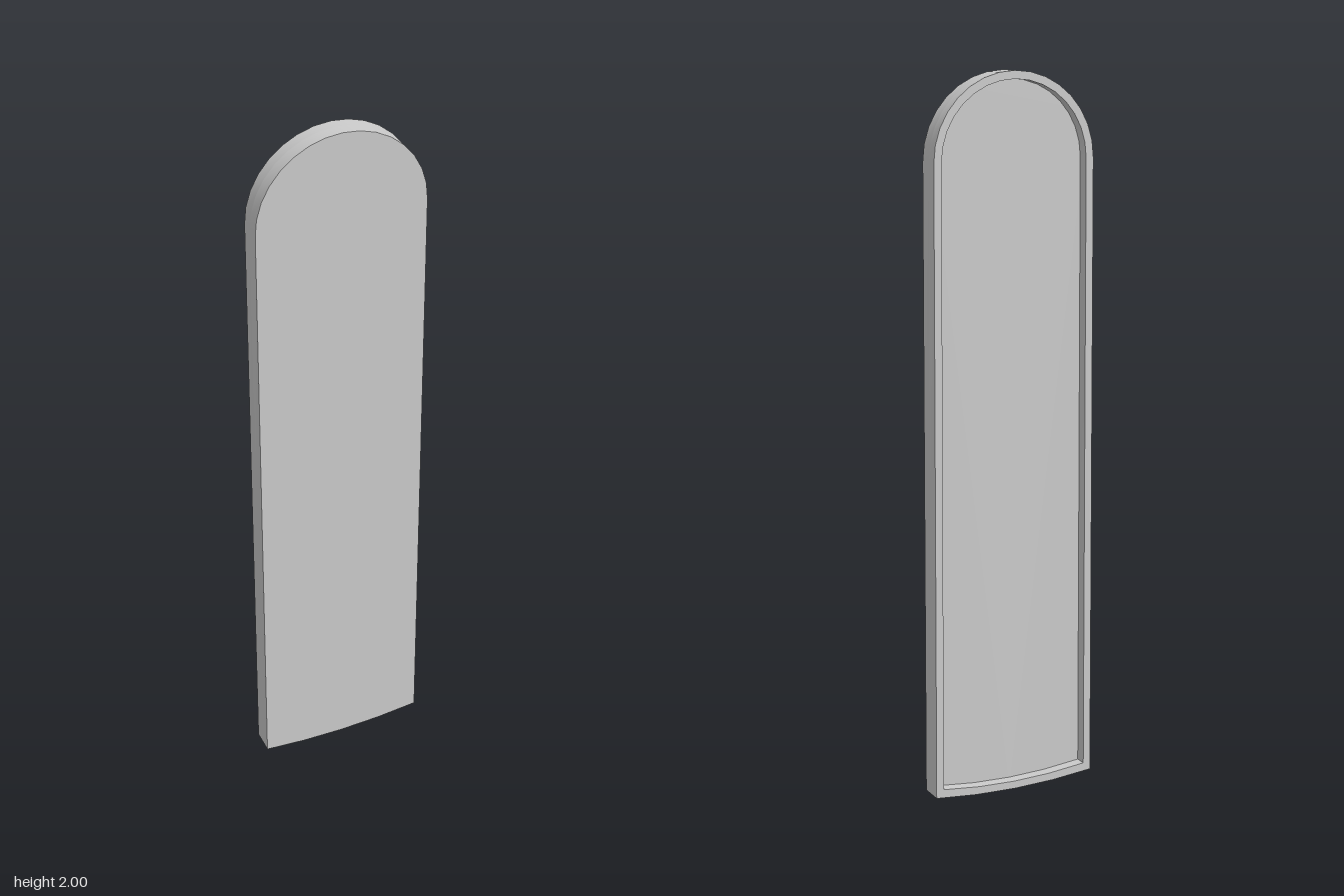
import * as THREE from 'three';
import { toCreasedNormals } from 'three/addons/utils/BufferGeometryUtils.js';

const DEPTH = 0.07;   // full thickness
const PLATE = 0.037;  // solid front part
const RIM = 0.022;    // width of the raised border at the back

// Round-topped, slightly tapering outline with a bowed bottom edge, inset by d
function outline(d) {
  const pts = [];
  const bottom = 0.243 - d, top = 0.236 - d, spring = 1.766;
  for (let i = 0; i <= 4; i++) {
    const t = i / 2 - 1;
    pts.push(new THREE.Vector2(t * bottom, d + 0.015 * t * t));
  }
  for (let i = 0; i <= 16; i++) {
    const a = (Math.PI * i) / 16;
    pts.push(new THREE.Vector2(top * Math.cos(a), spring + (2 - spring - d) * Math.sin(a)));
  }
  return pts;
}

function slab(name, shape, depth, z, material) {
  const extruded = new THREE.ExtrudeGeometry(shape, { depth, bevelEnabled: false });
  const mesh = new THREE.Mesh(toCreasedNormals(extruded, Math.PI / 6), material);
  mesh.name = name;
  mesh.position.z = z;
  return mesh;
}

export function createModel() {
  const group = new THREE.Group();
  group.name = 'archedPanel';
  const material = new THREE.MeshStandardMaterial({ color: 0xcccccc });

  // Flat front plate
  group.add(slab('frontPlate', new THREE.Shape(outline(0)), PLATE, DEPTH / 2 - PLATE, material));

  // Raised border around the recessed back
  const border = new THREE.Shape(outline(0));
  border.holes.push(new THREE.Path(outline(RIM)));
  group.add(slab('backRim', border, DEPTH - PLATE, -DEPTH / 2, material));

  return group;
}
